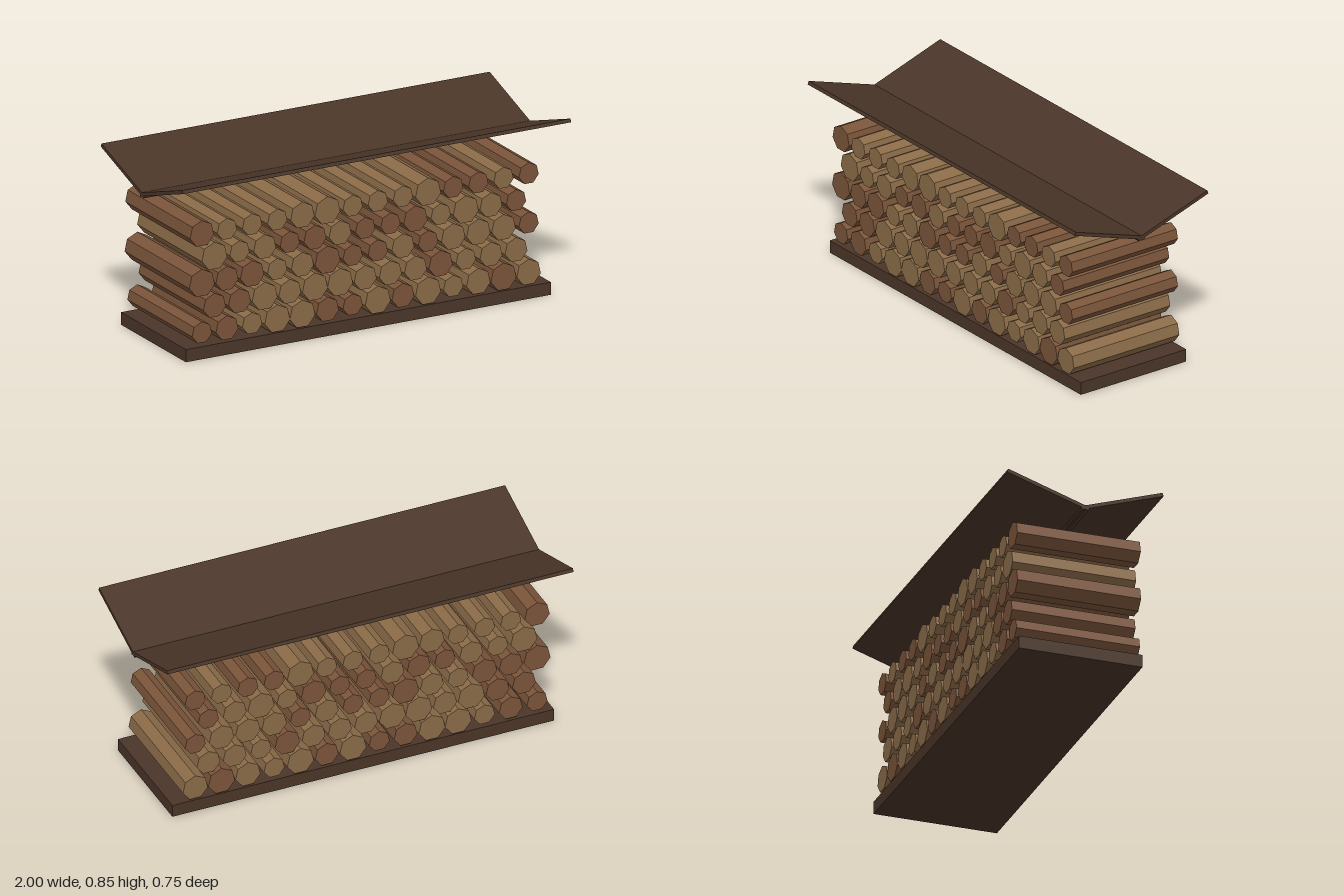
import * as THREE from 'three';

export function createModel() {
  const group = new THREE.Group();
  const mat = (color) => new THREE.MeshStandardMaterial({ color, flatShading: true });
  const darkWood = mat(0x4a3528), tanBark = mat(0x8a6b48), brownBark = mat(0x7a543a);

  function add(name, geometry, material, x, y, z, rx = 0) {
    const mesh = new THREE.Mesh(geometry, material);
    mesh.name = name;
    mesh.position.set(x, y, z);
    mesh.rotation.x = rx;
    group.add(mesh);
  }

  // Base plank
  add('base', new THREE.BoxGeometry(1.88, 0.06, 0.59), darkWood, 0, 0.03, 0);

  // Stacked logs, bottom row first: letter a-d is thickness, capitals are brown bark
  const rows = [
    'ABaddBAdBdacDc',
    'BBdbddbbbCabb',
    'DBCabDAAbAcccA',
    'dabABbAACadbA',
    'CaaacdaaadAAaA',
  ];
  const logs = [0.052, 0.059, 0.063, 0.067].map((r) => new THREE.CylinderGeometry(r, r, 0.59, 7));
  rows.forEach((row, j) => {
    [...row].forEach((c, i) => {
      const size = c.toLowerCase().charCodeAt(0) - 97;
      const bark = c < 'a' ? brownBark : tanBark;
      const x = -0.857 + 0.1295 * (i + (j % 2) / 2);
      add('log', logs[size], bark, x, 0.126 + 0.1173 * j, 0, -Math.PI / 2);
    });
  });

  // Roof panels meeting in a valley
  const panel = new THREE.BoxGeometry(2, 0.017, 0.41);
  for (const s of [1, -1]) add(s > 0 ? 'roofFront' : 'roofBack', panel, darkWood, 0, 0.776, s * 0.1765, -s * 0.318);

  return group;
}
